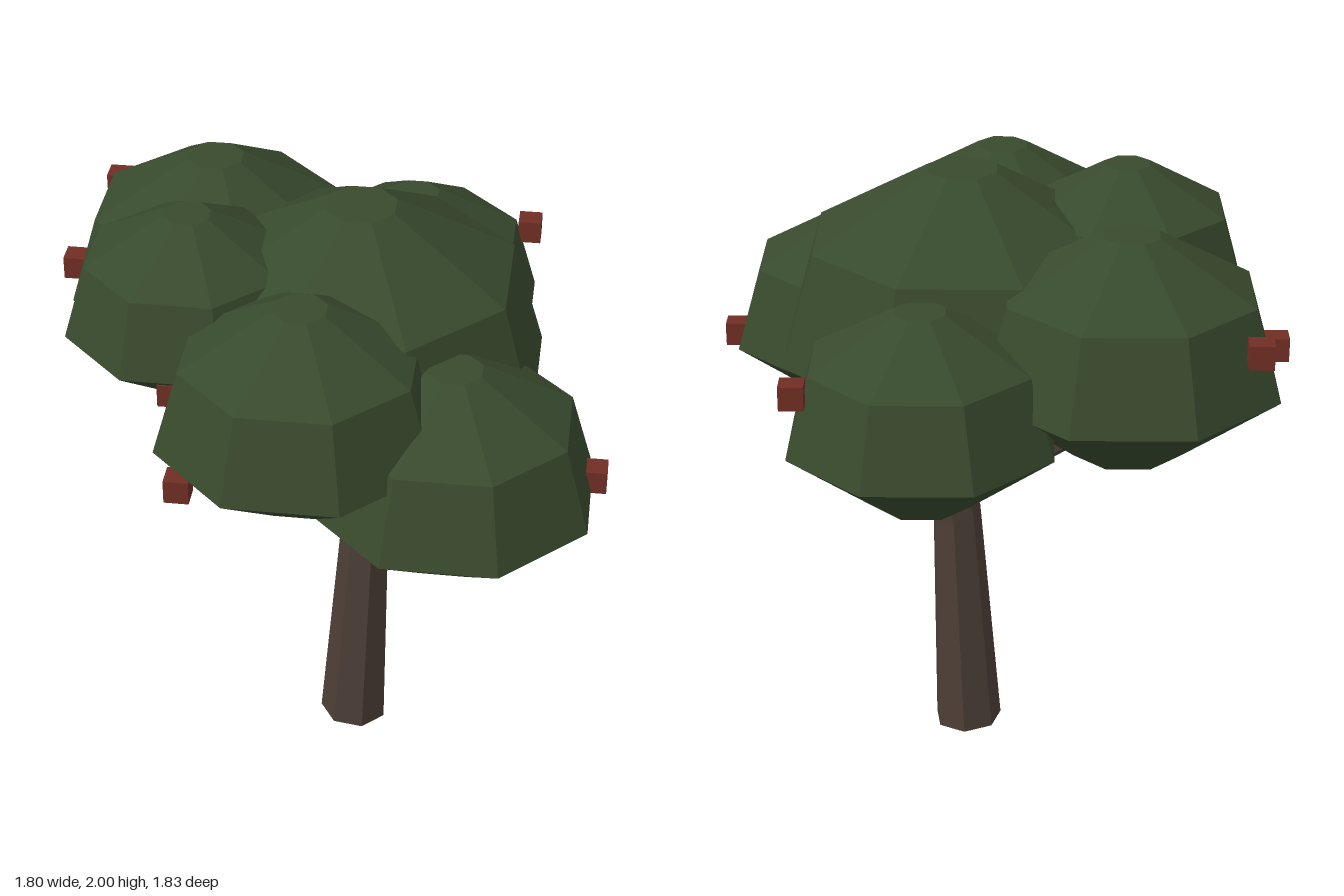
import * as THREE from 'three';

export function createModel() {
  const tree = new THREE.Group();
  tree.name = 'tree';

  const material = (name, color) => {
    const m = new THREE.MeshStandardMaterial({ color, flatShading: true });
    m.name = name;
    return m;
  };
  const bark = material('bark', 0x4c3e36);
  const leaf = material('leaf green', 0x384a2d);
  const red = material('fruit red', 0x702e24);

  const add = (name, geometry, mat, position = [0, 0, 0]) => {
    const mesh = new THREE.Mesh(geometry, mat);
    mesh.name = name;
    mesh.position.set(...position);
    tree.add(mesh);
    return mesh;
  };

  // Trunk: a seven-sided column, tapered and bent through three rings
  const rings = [
    { x: 0.093, y: 0.006, z: 0.035, r: 0.113, tilt: -0.006 },
    { x: 0.128, y: 0.8, z: 0.032, r: 0.08, tilt: -0.02 },
    { x: 0.19, y: 1.122, z: 0.014, r: 0.058, tilt: 0 },
  ];
  const trunk = new THREE.CylinderGeometry(1, 1, 2, 7, 2).rotateY(0.36);
  const pos = trunk.attributes.position;
  for (let i = 0; i < pos.count; i++) {
    const ring = rings[Math.round(pos.getY(i)) + 1];
    const x = pos.getX(i), z = pos.getZ(i);
    pos.setXYZ(i, ring.x + x * ring.r, ring.y + x * ring.tilt, ring.z + z * ring.r);
  }
  trunk.computeVertexNormals();
  add('trunk', trunk, bark);

  // Branches: thin tapered cylinders from the trunk into the crown
  const branch = (name, from, to) => {
    const a = new THREE.Vector3(...from), b = new THREE.Vector3(...to);
    const dir = b.clone().sub(a);
    const mesh = add(name, new THREE.CylinderGeometry(0.023, 0.031, dir.length(), 6), bark);
    mesh.position.copy(a).add(b).multiplyScalar(0.5);
    mesh.quaternion.setFromUnitVectors(new THREE.Vector3(0, 1, 0), dir.normalize());
  };
  branch('leftBranch', [0.13, 0.87, 0.02], [0.65, 1.31, -0.146]);
  branch('backRightBranch', [0.13, 0.86, 0.01], [-0.35, 1.33, -0.38]);
  branch('frontBranch', [0.115, 0.89, 0.08], [-0.08, 1.32, 0.53]);

  // Foliage: one octagonal clump profile, scaled to each size
  const profile = [[0, -0.52], [0.36, -0.52], [1, 0], [0.82, 0.64], [0.19, 1.03], [0, 1.03]]
    .map(([r, y]) => new THREE.Vector2(r / Math.cos(Math.PI / 8), y));
  const clump = new THREE.LatheGeometry(profile, 8, Math.PI / 8);
  const clumps = [
    ['centreFoliage', 0.1, 1.424, 0.02, 0.56],
    ['frontFoliage', -0.02, 1.49, 0.495, 0.415],
    ['frontLeftFoliage', 0.433, 1.278, 0.44, 0.42],
    ['frontRightFoliage', -0.415, 1.61, 0.117, 0.365],
    ['backLeftFoliage', 0.213, 1.336, -0.52, 0.398],
    ['backRightFoliage', -0.41, 1.463, -0.354, 0.45],
  ];
  for (const [name, x, y, z, size] of clumps) {
    add(name, clump, leaf, [x, y, z]).scale.setScalar(size);
  }

  // Fruit: small cubes on the surface of the crown
  const cube = new THREE.BoxGeometry(0.075, 0.075, 0.075);
  [
    [-0.865, 1.537, -0.28], [-0.785, 1.66, -0.62], [-0.757, 1.51, 0.05],
    [-0.425, 1.54, 0.41], [-0.348, 1.43, 0.74], [0.862, 1.307, 0.36],
    [0.585, 1.55, -0.682], [0.535, 1.4, -0.312],
  ].forEach((p, i) => add('fruit' + (i + 1), cube, red, p));

  return tree;
}
